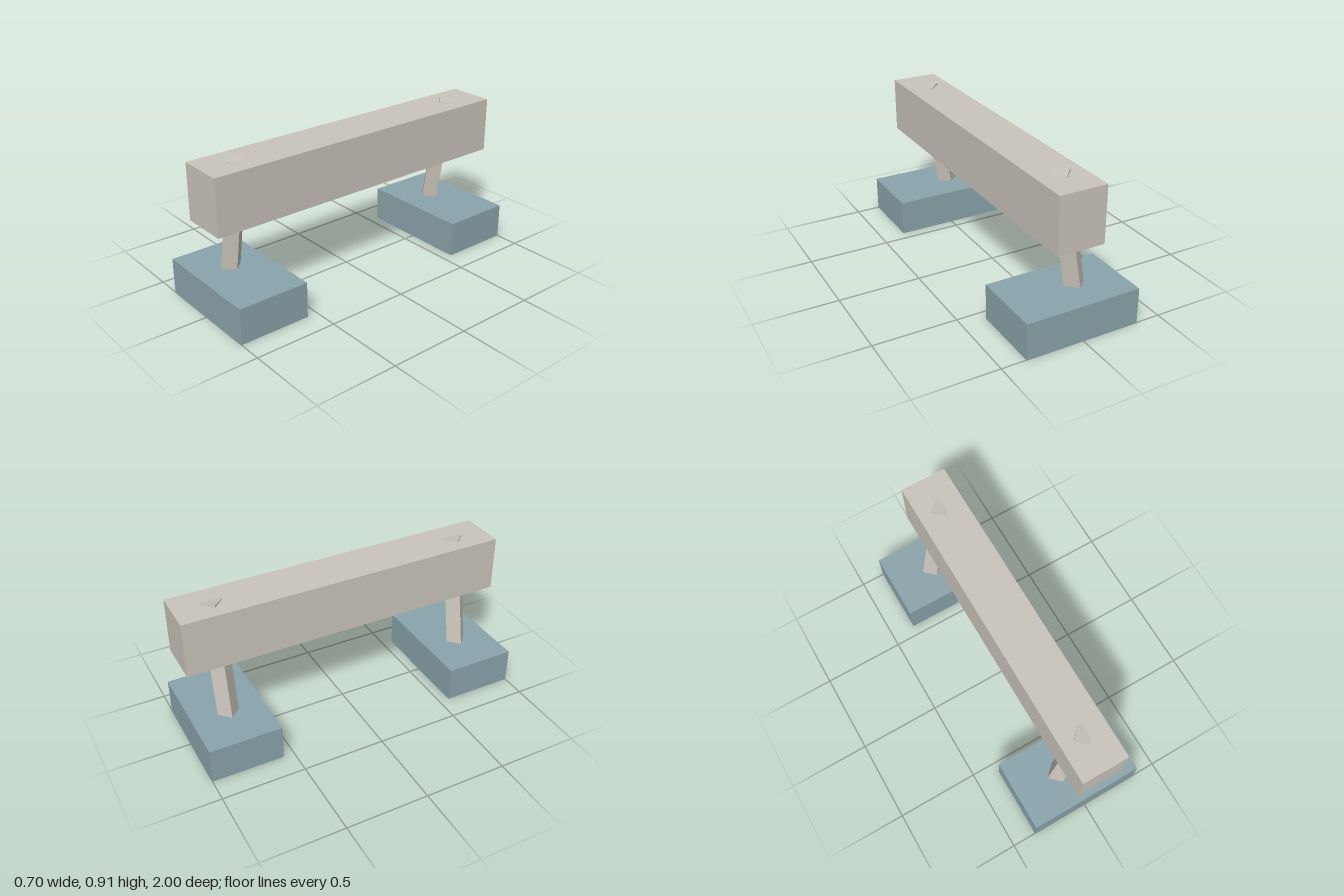
import * as THREE from 'three';

export function createModel() {
  const model = new THREE.Group();
  model.name = 'beamOnBlocks';

  const stone = new THREE.MeshStandardMaterial({ color: 0xc9c4bb });
  stone.name = 'warm grey';
  const teal = new THREE.MeshStandardMaterial({ color: 0x8aa4ab });
  teal.name = 'muted teal';

  const addBox = (name, size, position, material) => {
    const mesh = new THREE.Mesh(new THREE.BoxGeometry(...size), material);
    mesh.name = name;
    mesh.position.set(...position);
    model.add(mesh);
    return mesh;
  };

  // Long beam, set slightly to one side
  addBox('beam', [0.283, 0.337, 2], [0.0415, 0.7285, 0], stone);

  const tilt = THREE.MathUtils.degToRad(9.8);
  const legLength = 0.8;
  for (const [end, side] of [['front', 1], ['back', -1]]) {
    // Foot block
    addBox(end + 'Foot', [0.704, 0.218, 0.435], [0, 0.109, side * 0.7825], teal);

    // Leaning square post, turned corner-on, its top poking through the beam
    const leg = addBox(end + 'Leg', [0.091, legLength, 0.091], [
      0.042 - Math.sin(tilt) * legLength / 2,
      0.901 - Math.cos(tilt) * legLength / 2,
      side * 0.78,
    ], stone);
    leg.geometry.rotateY(Math.PI / 4);
    leg.rotation.z = -tilt;
  }
  return model;
}
